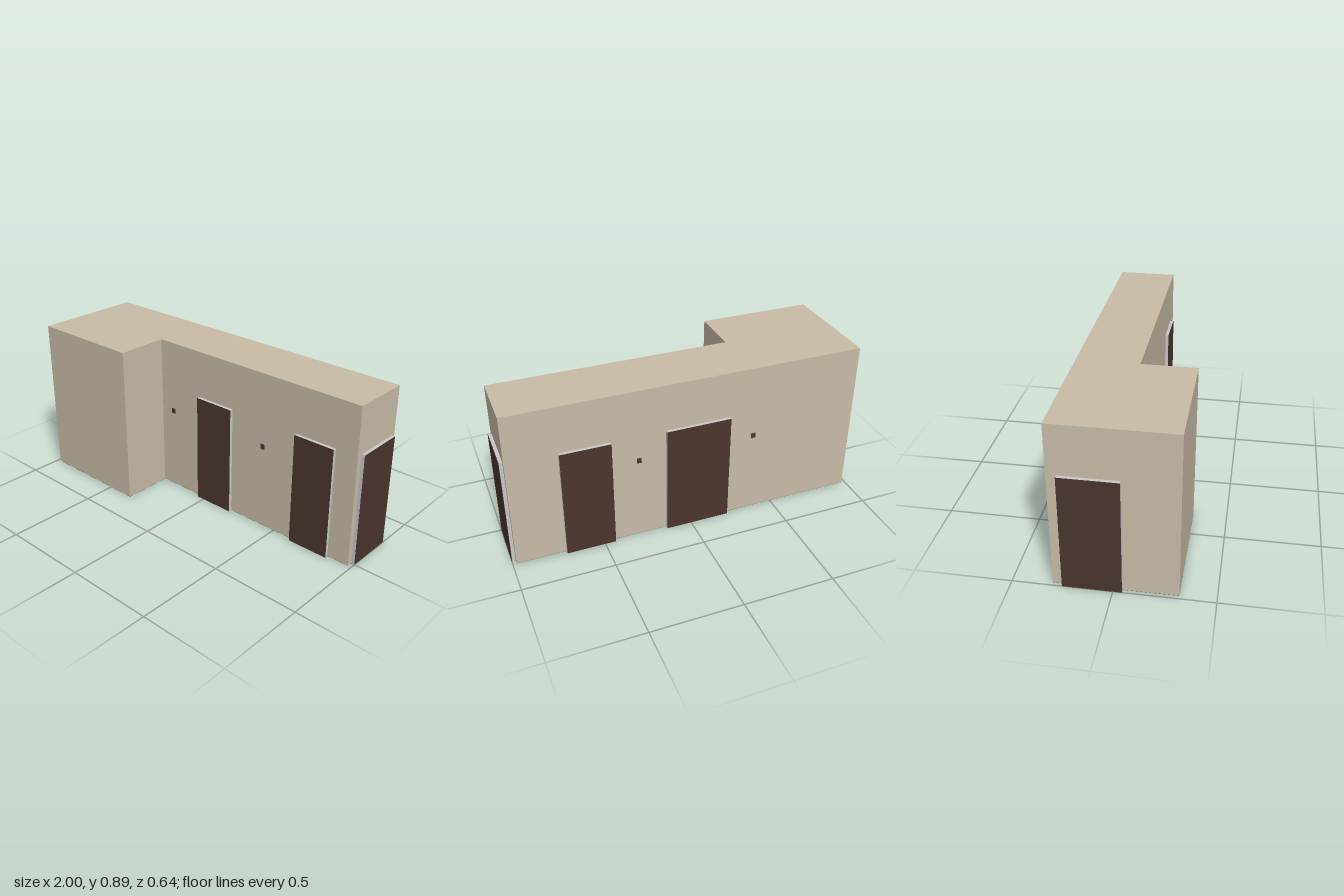
import * as THREE from 'three';

const mat = (name, color) => {
  const m = new THREE.MeshStandardMaterial({ color });
  m.name = name;
  return m;
};

export function createModel() {
  const group = new THREE.Group();
  const beige = mat('beige wall', 0xc9bca8);
  const brown = mat('dark brown door', 0x4a352d);
  const grey = mat('light grey frame', 0xc8c8c8);
  const floorBrown = mat('brown floor', 0x60452f);

  // L-shaped footprint, given as [x, z]
  const outline = new THREE.Shape(
    [[-0.98, 0.32], [-0.335, 0.32], [-0.335, 0.03], [0.98, 0.03], [0.98, -0.3], [-0.98, -0.3]]
      .map(([x, z]) => new THREE.Vector2(x, -z)));
  const slab = (name, y0, y1, material) => {
    const geo = new THREE.ExtrudeGeometry(outline, { depth: y1 - y0, bevelEnabled: false });
    geo.rotateX(-Math.PI / 2).translate(0, y0, 0);
    const mesh = new THREE.Mesh(geo, material);
    mesh.name = name;
    group.add(mesh);
  };
  slab('building', 0.001, 0.895, beige);
  slab('floor', 0, 0.001, floorBrown);

  // Box between two corners
  const box = (name, parent, material, [x0, x1], [y0, y1], [z0, z1]) => {
    const mesh = new THREE.Mesh(new THREE.BoxGeometry(x1 - x0, y1 - y0, z1 - z0), material);
    mesh.position.set((x0 + x1) / 2, (y0 + y1) / 2, (z0 + z1) / 2);
    mesh.name = name;
    parent.add(mesh);
  };

  // A wall is a group whose local +z points outward and whose z = 0 is the wall surface
  const wall = (name, x, z, turn) => {
    const g = new THREE.Group();
    g.name = name;
    g.position.set(x, 0, z);
    g.rotation.y = turn;
    group.add(g);
    return g;
  };
  const door = (parent, x0, x1, lip = 0) => {
    box('doorFrame', parent, grey, [x0, x1], [0, 0.63], [0, 0.018]);
    box('doorPanel', parent, brown, [x0, x1 - lip], [0, 0.63], [0.018, 0.02]);
  };
  const wallSwitch = (parent, x) =>
    box('wallSwitch', parent, brown, [x - 0.013, x + 0.013], [0.466, 0.496], [0, 0.002]);

  const front = wall('frontWallDetails', 0, 0.03, 0);
  door(front, -0.045, 0.195);
  door(front, 0.62, 0.855);
  wallSwitch(front, -0.25);
  wallSwitch(front, 0.406);

  // Local x is mirrored on the back
  const back = wall('backWallDetails', 0, -0.3, Math.PI);
  door(back, -0.71, -0.44);
  door(back, -0.14, 0.22);
  wallSwitch(back, -0.29);
  wallSwitch(back, 0.365);

  // End doors
  door(wall('leftEndDetails', 0.98, 0, Math.PI / 2), 0.003, 0.278, 0.005);
  door(wall('rightEndDetails', -0.98, 0, -Math.PI / 2), -0.25, 0.045);

  return group;
}
